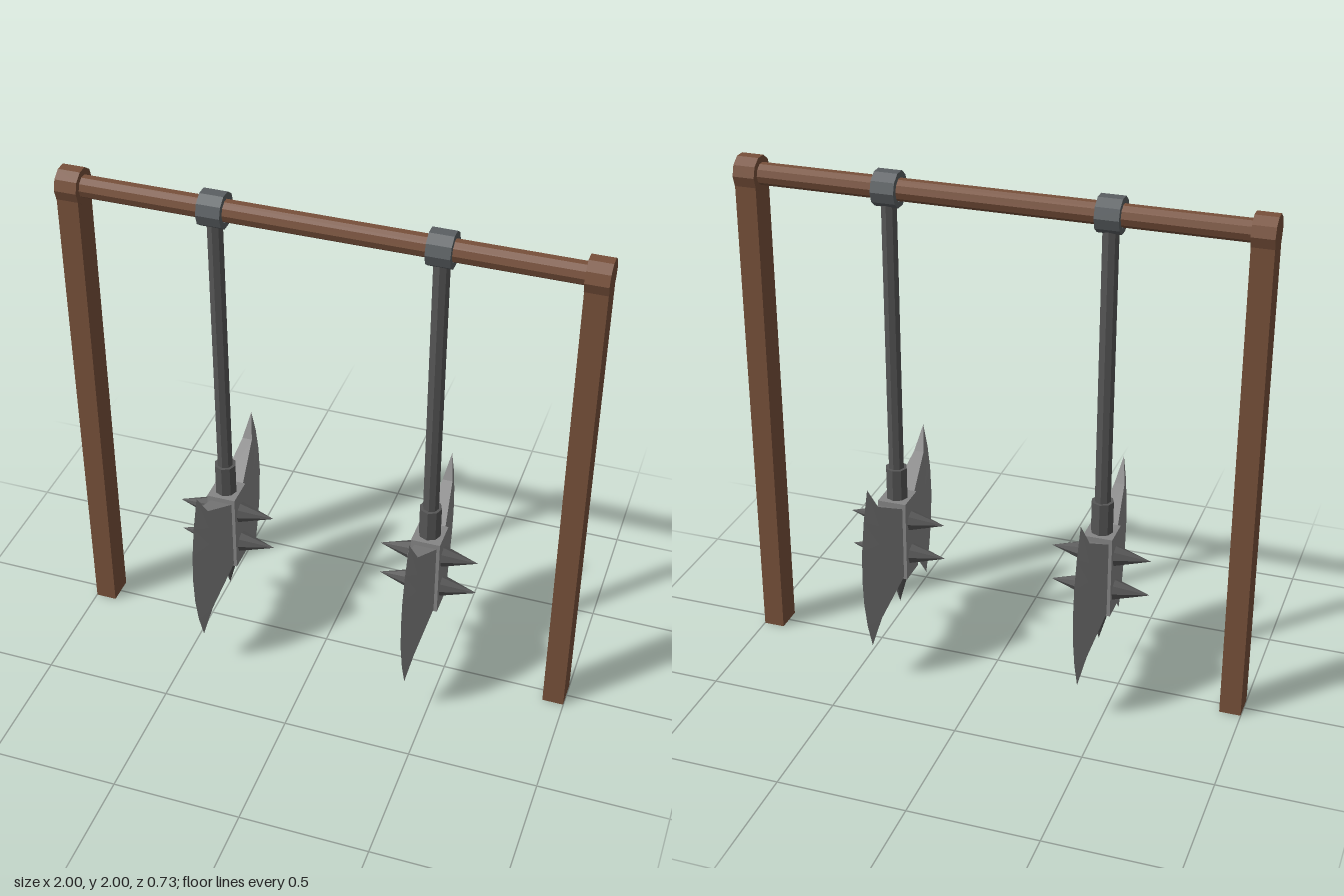
import * as THREE from 'three';

const mat = (name, color, side = THREE.FrontSide) =>
  Object.assign(new THREE.MeshStandardMaterial({ color, flatShading: true, side }), { name });

export function createModel() {
  const wood = mat('wood', 0x77503a, THREE.DoubleSide);
  const collarSteel = mat('collarSteel', 0x5a5f62);
  const darkSteel = mat('darkSteel', 0x565656);
  const bladeSteel = mat('bladeSteel', 0x868686, THREE.DoubleSide);

  const model = new THREE.Group();
  model.name = 'swingingAxes';
  const beamY = 1.935;

  function add(parent, name, geometry, material, x = 0, y = 0, z = 0) {
    const mesh = new THREE.Mesh(geometry, material);
    mesh.name = name;
    mesh.position.set(x, y, z);
    parent.add(mesh);
    return mesh;
  }

  // Ten-sided round bar lying along x
  const barX = (radius, length) =>
    new THREE.CylinderGeometry(radius, radius, length, 10).rotateZ(Math.PI / 2);

  // Frame: beam, end caps and posts that are open underneath
  add(model, 'beam', barX(0.042, 1.84), wood, 0, beamY);
  const postGeometry = new THREE.CylinderGeometry(Math.SQRT1_2, Math.SQRT1_2, beamY, 4, 1, true)
    .rotateY(Math.PI / 4).scale(0.083, 1, 0.11);
  for (const side of [-1, 1]) {
    add(model, 'post', postGeometry, wood, side * 0.9575, beamY / 2);
    add(model, 'postCap', barX(0.068, 0.085), wood, side * 0.9575, beamY);
  }

  // Blade: root, shoulder and sharp edge columns, mirrored in thickness
  function bladeGeometry() {
    const rows = 6, positions = [];
    const columns = [
      { z: 0.05, low: 0.355, high: 0.65, thick: 0.045, bulge: 0 },
      { z: 0.237, low: 0.26, high: 0.755, thick: 0.02, bulge: 0 },
      { z: 0.29, low: 0.163, high: 0.85, thick: 0, bulge: 0.075 },
    ];
    const point = (c, r, side) => {
      const t = r / rows, col = columns[c];
      return [side * col.thick, THREE.MathUtils.lerp(col.low, col.high, t),
        col.z + col.bulge * (1 - (2 * t - 1) ** 2)];
    };
    const quad = (a, b, c, d) => positions.push(...a, ...b, ...c, ...a, ...c, ...d);
    for (let c = 0; c < 2; c++) {
      for (let r = 0; r < rows; r++) {
        quad(point(c, r, 1), point(c, r + 1, 1), point(c + 1, r + 1, 1), point(c + 1, r, 1));
        quad(point(c, r, -1), point(c + 1, r, -1), point(c + 1, r + 1, -1), point(c, r + 1, -1));
      }
      // Upper and lower rims
      quad(point(c, rows, 1), point(c, rows, -1), point(c + 1, rows, -1), point(c + 1, rows, 1));
      quad(point(c, 0, -1), point(c, 0, 1), point(c + 1, 0, 1), point(c + 1, 0, -1));
    }
    const geometry = new THREE.BufferGeometry();
    geometry.setAttribute('position', new THREE.Float32BufferAttribute(positions, 3));
    geometry.computeVertexNormals();
    return geometry;
  }

  // Collar ring around the beam
  const ring = [[0.045, -0.045], [0.068, -0.045], [0.068, 0.045], [0.045, 0.045], [0.045, -0.045]];
  const collarGeometry = new THREE.LatheGeometry(ring.map(p => new THREE.Vector2(...p)), 10)
    .rotateZ(Math.PI / 2);
  const blade = bladeGeometry();

  for (const x of [-0.415, 0.415]) {
    const axe = new THREE.Group();
    axe.name = 'axe';
    axe.position.x = x;
    model.add(axe);

    add(axe, 'collar', collarGeometry, collarSteel, 0, beamY);
    add(axe, 'rod', new THREE.CylinderGeometry(0.031, 0.031, 1.14, 8), darkSteel, 0, 1.32);
    add(axe, 'socket', new THREE.CylinderGeometry(0.043, 0.043, 0.14, 8), darkSteel, 0, 0.735);
    add(axe, 'headBlock', new THREE.BoxGeometry(0.114, 0.335, 0.118), bladeSteel, 0, 0.508);
    add(axe, 'bottomSpike', new THREE.ConeGeometry(0.042, 0.15, 8).rotateX(Math.PI), darkSteel, 0, 0.27);

    for (const side of [-1, 1]) {
      // Blades front and back
      add(axe, 'blade', blade, bladeSteel).rotation.y = side > 0 ? 0 : Math.PI;
      // Spikes on both flat sides
      for (const y of [0.428, 0.577])
        add(axe, 'sideSpike', new THREE.ConeGeometry(0.042, 0.14, 8).rotateZ(-side * Math.PI / 2),
          darkSteel, side * 0.125, y);
    }
  }
  return model;
}
